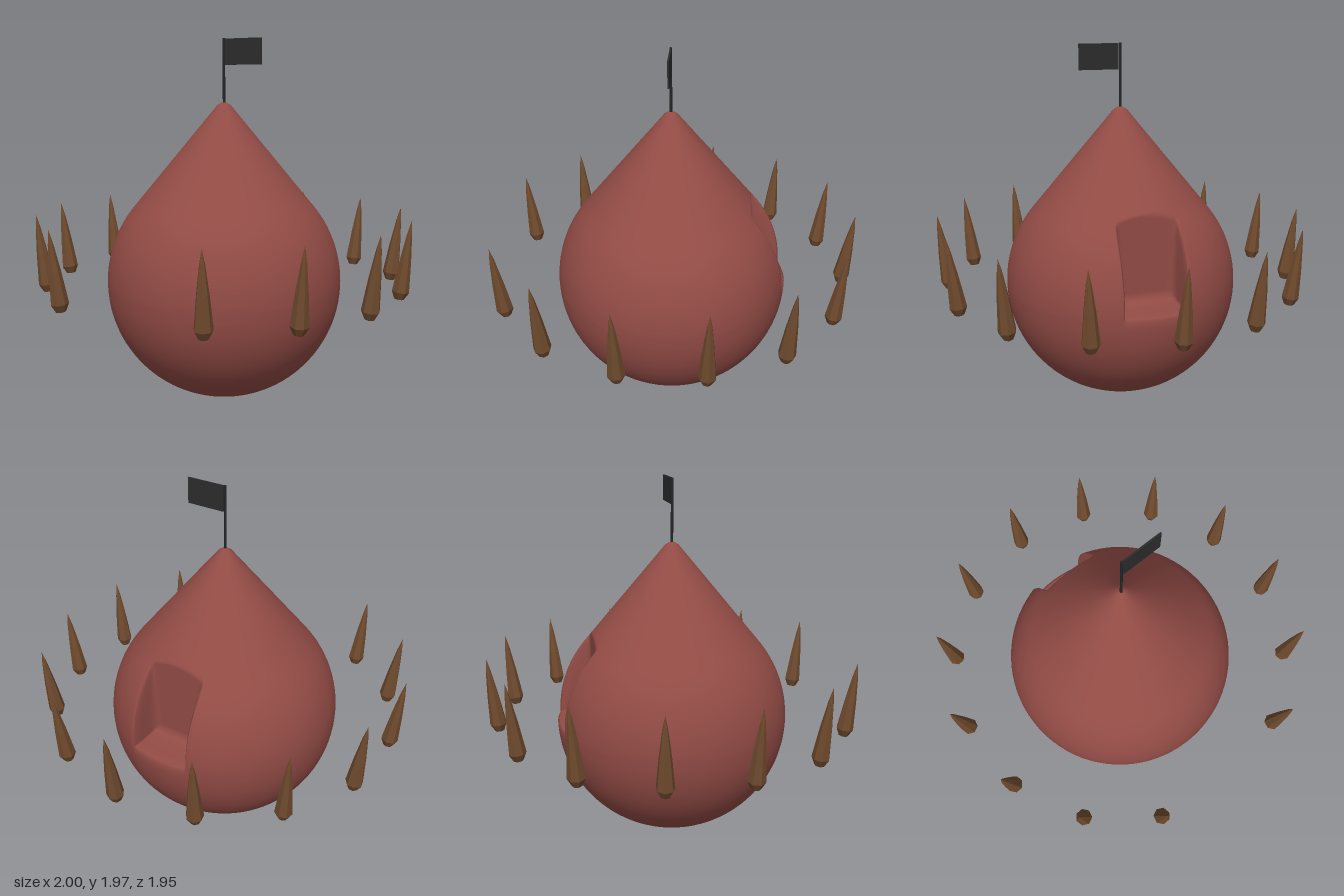
import * as THREE from 'three';

const CZ = 0.05;          // z of the body axis
const R = 0.647;          // radius of the round lower body
const WALL = -0.44;       // recess back wall, measured from the axis

const mat = (name, color, flatShading = false) => {
  const m = new THREE.MeshStandardMaterial({ color, flatShading });
  m.name = name;
  return m;
};

// Body radius at height y: sphere, tangent cone, small rounded tip
function radiusAt(y) {
  if (y < 1.061) return Math.sqrt(Math.max(0, R * R - (y - R) ** 2));
  const cone = 0.4975 * (1.66 - y) / 0.599;
  const tip = Math.sqrt(Math.max(0, 0.04 ** 2 - (y - 1.592) ** 2));
  return y > 1.618 ? Math.min(cone, tip) : cone;
}

// Teardrop skin whose back columns are pushed in to form the recess
function bodyGeometry() {
  // Rows: [height, recess weight]
  const rows = [];
  for (let i = 0; i < 26; i++) rows.push([R * (1 - Math.cos(i / 26 * 1.535)), 0]);
  rows.push([0.63, 0], [0.638, 0.06], [0.645, 0.35], [0.651, 0.75], [0.662, 0.92], [0.68, 0.98]);
  for (let y = 0.7; y < 1.16; y += 0.01) rows.push([y, 1]);
  for (let i = 0; i <= 12; i++) rows.push([1.17 + 0.445 * i / 12, 0]);
  rows.push([1.622, 0], [1.628, 0], [1.631, 0], [1.632, 0]);

  // Recess columns: [x, recess weight], mirrored about x = 0
  const half = [[0.2, 0], [0.178, 0], [0.17, 0.06], [0.165, 0.35], [0.161, 0.75], [0.154, 0.93], [0.14, 0.99], [0.115, 1], [0.08, 1], [0.04, 1]];
  const patch = [...half.map(([x, w]) => [-x, w]), [0, 1], ...half.slice().reverse()];
  const around = 72;
  const n = patch.length + around;

  const pos = [], index = [];
  for (const [y, wy] of rows) {
    const r = Math.max(radiusAt(y), 0.0005);
    const s = Math.min(1, 2.2 * r);
    for (const [c, wx] of patch) {
      const x = c * s;
      const z = -Math.sqrt(r * r - x * x);
      pos.push(x, y, z + Math.min(wx, wy) * Math.max(0, WALL - z));
    }
    const edge = Math.asin(0.2 * s / r);
    for (let k = 1; k <= around; k++) {
      const a = edge + (2 * Math.PI - 2 * edge) * k / (around + 1);
      pos.push(r * Math.sin(a), y, -r * Math.cos(a));
    }
  }
  for (let i = 0; i < rows.length - 1; i++) {
    for (let j = 0; j < n; j++) {
      const a = i * n + j, b = i * n + (j + 1) % n;
      index.push(a, a + n, b, b, a + n, b + n);
    }
  }
  const g = new THREE.BufferGeometry();
  g.setAttribute('position', new THREE.Float32BufferAttribute(pos, 3));
  g.setIndex(index);
  g.computeVertexNormals();
  return g;
}

export function createModel() {
  const model = new THREE.Group();
  const red = mat('dull red', 0x924b45);
  const brown = mat('thorn brown', 0x704b2e, true);
  const black = mat('pole black', 0x222626);
  const charcoal = mat('flag charcoal', 0x2c2c2c);

  const add = (parent, name, geometry, material, x, y, z) => {
    const m = new THREE.Mesh(geometry, material);
    m.name = name;
    m.position.set(x, y, z);
    parent.add(m);
    return m;
  };

  add(model, 'body', bodyGeometry(), red, 0, 0, CZ);

  // Flag on the tip
  add(model, 'flagPole', new THREE.CylinderGeometry(0.007, 0.007, 0.36, 10), black, 0, 1.79, CZ);
  add(model, 'flag', new THREE.BoxGeometry(0.22, 0.138, 0.009), charcoal, 0.12, 1.899, CZ);

  // Ring of outward-leaning thorns, fourteen slots with the front one left open
  const thorn = new THREE.LatheGeometry(
    [[0, 0], [0.026, 0.004], [0.046, 0.045], [0.031, 0.21], [0.014, 0.35], [0, 0.425]].map(p => new THREE.Vector2(...p)), 7);
  const ring = new THREE.Group();
  ring.name = 'thornRing';
  ring.position.z = CZ;
  model.add(ring);
  for (let i = 0; i < 14; i++) {
    if (i === 7) continue;
    const a = i / 14 * Math.PI * 2;
    const t = add(ring, 'thorn', thorn, brown, 0.968 * Math.sin(a), 0.61, -0.968 * Math.cos(a));
    t.rotation.set(0.12, Math.PI - a, 0, 'YXZ');
  }
  return model;
}
